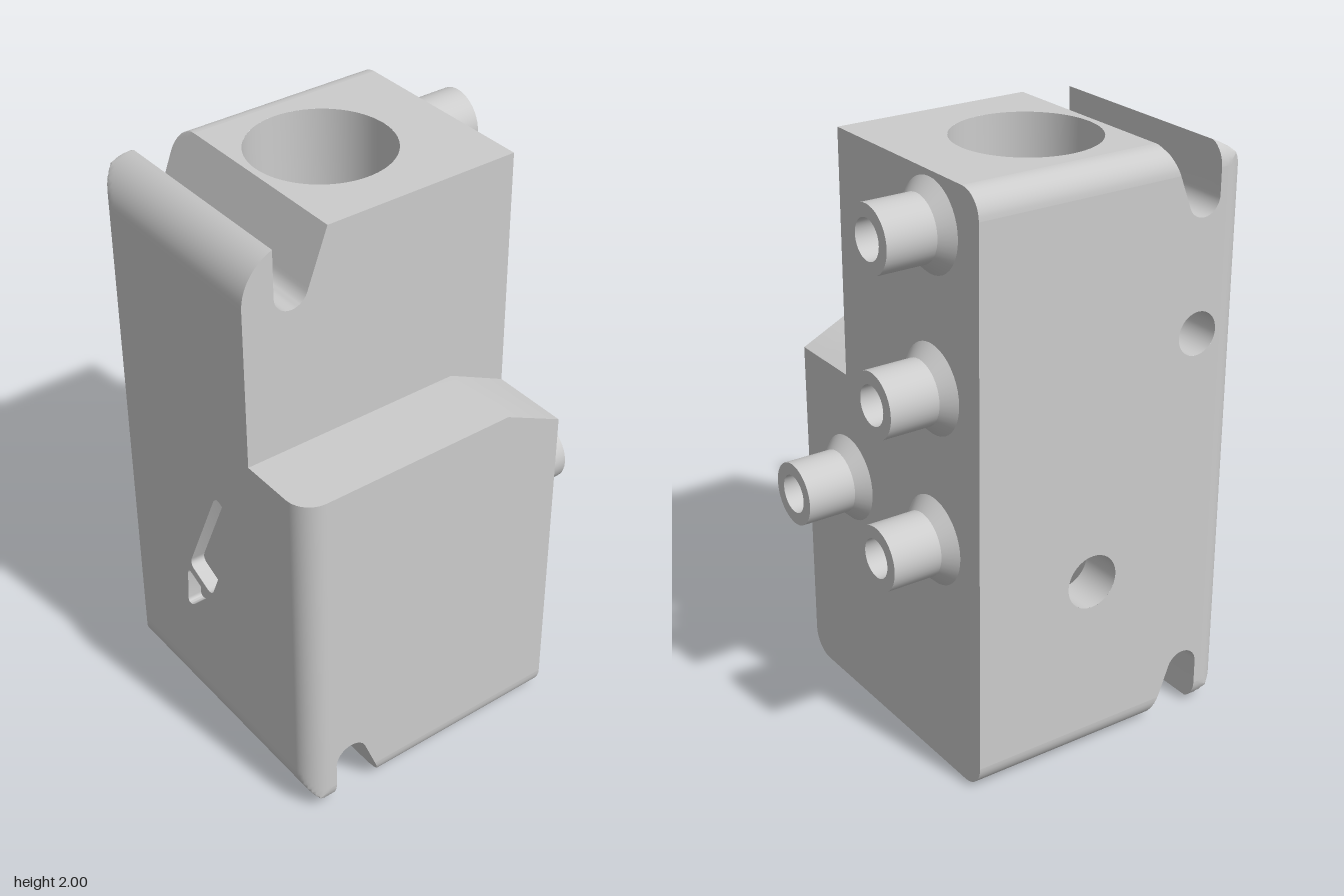
import * as THREE from 'three';
import { toCreasedNormals } from 'three/addons/utils/BufferGeometryUtils.js';

const LEFT = 0.52, STEP_X = 0.245, FRONT = 0.6, BACK = -0.39, TOP = 2, STEP_Y = 1.28;
const R = 0.085, SEG = 10;                       // edge rounding
const BORE = { x: -0.14, z: 0.04, r: 0.237 };
const V = (x, y) => new THREE.Vector2(x, y);

// Side outline (z, y) from the front face over the lip and slot to the back
function topChain() {
  const pts = [];
  const arc = (cz, cy, r, a0, a1, n) => {
    for (let i = 0; i <= n; i++) {
      const a = a0 + (a1 - a0) * i / n;
      pts.push(V(cz + r * Math.cos(a), cy + r * Math.sin(a)));
    }
  };
  arc(0.43, 1.83, 0.17, 0, Math.acos(0.06 / 0.17), 14);   // rounded lip
  arc(0.43, 1.828, 0.06, 0, -2.78, 16);                   // slot floor
  const s = pts[pts.length - 1].clone(), e = V(0.3, TOP);
  for (let i = 1; i <= 16; i++) pts.push(s.clone().lerp(e, i / 16)); // sloped slot wall
  pts.push(V(BACK, TOP));
  return pts;
}

function meshFromTriangles(pos) {
  const g = new THREE.BufferGeometry();
  g.setAttribute('position', new THREE.Float32BufferAttribute(pos, 3));
  return toCreasedNormals(g, 0.5);
}

function addTri(pos, a, b, c) {
  const n = b.clone().sub(a).cross(c.clone().sub(a));
  if (n.length() > 1e-10) [a, b, c].forEach(p => pos.push(p.x, p.y, p.z));
}

// Skin between copies of an outline at rising x; skipped edges get flat panels
function loft(layers, skip = () => false) {
  const pos = [], n = layers[0].pts.length;
  const at = (k, i) => {
    const p = layers[k].pts[i % n];
    return new THREE.Vector3(layers[k].x, p.y, p.x);
  };
  for (let k = 0; k < layers.length - 1; k++) {
    for (let i = 0; i < n; i++) {
      if (skip(k, i)) continue;
      const a = at(k, i), b = at(k + 1, i), c = at(k + 1, i + 1), d = at(k, i + 1);
      addTri(pos, a, b, c);
      addTri(pos, a, c, d);
    }
  }
  return meshFromTriangles(pos);
}

// Outline trimmed by the rounding at one distance from the side
const trim = (pts, inset) => pts.map(p =>
  V(Math.min(p.x, FRONT - inset), Math.min(Math.max(p.y, inset), TOP - inset)));

const circle = (x, y, r) => new THREE.Path().absarc(x, y, r, 0, Math.PI * 2, true);

// Flat side face; dir is +1 or -1 along x
function sideFace(pts, x, dir, holes = []) {
  const clean = pts.filter((p, i) => p.distanceTo(pts[(i + 1) % pts.length]) > 1e-6)
    .map(p => V(-dir * p.x, p.y));
  const shape = new THREE.Shape(clean);
  holes.forEach(h => shape.holes.push(circle(-dir * h.z, h.y, h.r)));
  return new THREE.ShapeGeometry(shape, 48).rotateY(dir * Math.PI / 2).translate(x, 0, 0);
}

const rectShape = (x0, y0, x1, y1) =>
  new THREE.Shape([V(x0, y0), V(x1, y0), V(x1, y1), V(x0, y1)]);

// Polygon with softened corners, anticlockwise
function softPolygon(corners, r) {
  const pts = [], n = corners.length;
  corners.forEach((c, i) => {
    const toward = q => c.clone().add(q.clone().sub(c).setLength(Math.min(r, q.distanceTo(c) * 0.45)));
    const curve = new THREE.QuadraticBezierCurve(
      toward(corners[(i + n - 1) % n]), c, toward(corners[(i + 1) % n]));
    pts.push(...curve.getPoints(5));
  });
  return pts;
}

const lathe = (pts, seg = 40) =>
  toCreasedNormals(new THREE.LatheGeometry(pts.map(p => V(p[0], p[1])), seg), 0.5);

export function createModel() {
  const group = new THREE.Group();
  const grey = new THREE.MeshStandardMaterial({ color: 0xcccccc });
  grey.name = 'light grey';
  const add = (name, geo) => {
    const m = new THREE.Mesh(geo, grey);
    m.name = name;
    group.add(m);
    return m;
  };

  const top = topChain();
  const bottom = top.map(p => V(p.x, TOP - p.y)).reverse();

  // Tall block with rounded outer edges
  const tall = [...top, ...bottom];
  const topEdge = top.length - 2, bottomEdge = top.length, frontEdge = tall.length - 1;
  const tallLayers = [];
  for (let i = 0; i <= SEG; i++) {
    const a = i / SEG * Math.PI / 2;
    tallLayers.push({ x: -LEFT + R * (1 - Math.cos(a)), pts: trim(tall, R * (1 - Math.sin(a))) });
  }
  tallLayers.push({ x: STEP_X, pts: tall });
  add('tallBlock', loft(tallLayers, (k, i) =>
    k === SEG && (i === topEdge || i === bottomEdge || i === frontEdge)));
  add('tallBlockInnerSide', sideFace(tall, STEP_X, 1));

  // Outer side with two drilled holes
  const sideHoles = [
    { y: 1.39, z: 0.425, r: 0.073, depth: 0.4, floor: true },
    { y: 0.63, z: BORE.z, r: 0.093, depth: 0.15, floor: false },
  ];
  add('tallBlockOuterSide', sideFace(tallLayers[0].pts, -LEFT, -1, sideHoles));
  sideHoles.forEach(h => {
    const pts = [[h.r, 0], [h.r, -h.depth]];
    if (h.floor) pts.push([0, -h.depth]);
    add('sideHole', lathe(pts).rotateZ(Math.PI / 2).translate(-LEFT, h.y, h.z));
  });

  // Top and bottom panels, open around the through bore
  const x0 = -LEFT + R;
  const topShape = rectShape(x0, -0.3, STEP_X, -BACK);
  topShape.holes.push(circle(BORE.x, -BORE.z, BORE.r));
  add('topPanel', new THREE.ShapeGeometry(topShape, 64).rotateX(-Math.PI / 2).translate(0, TOP, 0));
  const bottomShape = rectShape(x0, BACK, STEP_X, 0.3);
  bottomShape.holes.push(circle(BORE.x, BORE.z, BORE.r));
  add('bottomPanel', new THREE.ShapeGeometry(bottomShape, 64).rotateX(Math.PI / 2));
  add('bore', lathe([[BORE.r, TOP], [BORE.r, 0]], 64).translate(BORE.x, 0, BORE.z));

  // Front panel with a slanted bar and tip sunk into it
  const recesses = [
    softPolygon([V(-0.13, 0.65), V(-0.005, 0.595), V(0.165, 0.99), V(0.05, 1.045)], 0.03),
    softPolygon([V(-0.158, 0.465), V(-0.13, 0.465), V(-0.03, 0.57), V(-0.145, 0.62)], 0.025),
  ];
  const frontShape = rectShape(x0, 0.17, STEP_X, 1.83);
  recesses.forEach(pts => {
    frontShape.holes.push(new THREE.Path(pts));
    const back = FRONT - 0.05, pos = [];
    pts.forEach((p, i) => {
      const q = pts[(i + 1) % pts.length];
      const P = (v, z) => new THREE.Vector3(v.x, v.y, z);
      addTri(pos, P(p, FRONT), P(q, FRONT), P(q, back));
      addTri(pos, P(p, FRONT), P(q, back), P(p, back));
    });
    add('recessWall', meshFromTriangles(pos));
    add('recessFloor', new THREE.ShapeGeometry(new THREE.Shape(pts)).translate(0, 0, back));
  });
  add('frontPanel', new THREE.ShapeGeometry(frontShape).translate(0, 0, FRONT));

  // Lower side block with a sloped rear shoulder
  const low = [V(FRONT, STEP_Y), V(-0.175, STEP_Y), V(BACK, 1.175), ...bottom];
  const lowLayers = [{ x: STEP_X, pts: low }];
  for (let i = 0; i <= SEG; i++) {
    const a = i / SEG * Math.PI / 2;
    lowLayers.push({ x: LEFT - R * (1 - Math.sin(a)), pts: trim(low, R * (1 - Math.cos(a))) });
  }
  add('lowBlock', loft(lowLayers));
  add('lowBlockSide', sideFace(lowLayers[lowLayers.length - 1].pts, LEFT, 1));

  // Flared hollow nozzles on the back
  const nozzle = lathe([[0.148, 0], [0.107, 0.042], [0.107, 0.21],
    [0.065, 0.21], [0.065, 0.11], [0, 0.11]]).rotateX(-Math.PI / 2);
  [[-0.267, 1.833], [-0.267, 1.317], [-0.267, 0.802], [0.248, 0.802]].forEach(([x, y]) =>
    add('nozzle', nozzle).position.set(x, y, BACK));

  return group;
}
